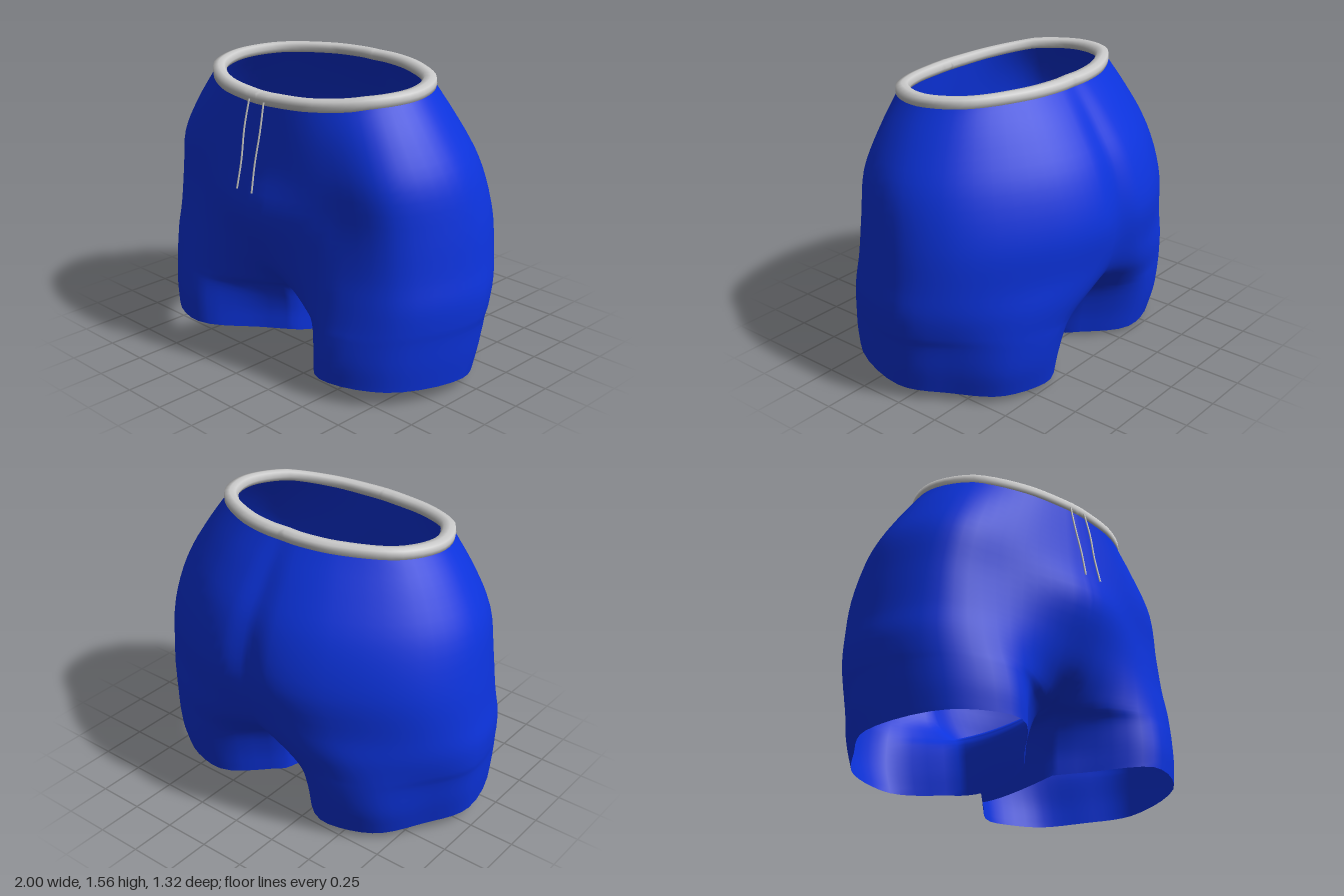
import * as THREE from 'three';
import { mergeVertices } from 'three/addons/utils/BufferGeometryUtils.js';

const V = (x, y, z) => new THREE.Vector3(x, y, z);
const { lerp, smoothstep } = THREE.MathUtils;

// Levels from waist to hem:
// y, half width, side z, centre x, centre front z, thigh front z, seat z, centre back z
const LEVELS = [
  [1.505, 0.655, 0.12, 0, 0.555, 0.50, -0.33, -0.33],
  [1.32, 0.785, 0.11, 0, 0.575, 0.52, -0.465, -0.455],
  [1.12, 0.895, 0.08, 0, 0.60, 0.53, -0.59, -0.575],
  [0.88, 0.95, 0.03, 0, 0.64, 0.53, -0.66, -0.63],
  [0.66, 0.98, 0.01, 0, 0.57, 0.545, -0.635, -0.61],
  [0.52, 1.00, 0.01, 0, 0.495, 0.565, -0.605, -0.55],
  [0.40, 0.995, 0.01, 0, 0.37, 0.585, -0.565, -0.40],
  [0.34, 0.985, 0.02, 0.06, 0.31, 0.595, -0.55, -0.32],
  [0.20, 0.97, 0.03, 0.09, 0.26, 0.61, -0.52, -0.27],
  [0.065, 0.95, 0.05, 0.10, 0.25, 0.61, -0.485, -0.25],
];
const CROTCH = 6;   // level where the legs part
const STEPS = 4;    // rows between levels
const ARC = 40;     // columns round the outside of one half
const INNER = 10;   // columns along the inside of a leg

// One level of the left half, from centre front round the side to centre back
function halfSection([y, w, zo, xc, zfc, zfm, zb, zbc]) {
  const peak = lerp(0.38, 0.17, smoothstep(y, 0.2, 0.8));
  const waist = smoothstep(y, 1.2, 1.5);   // oval at the waist, squarer at the hips
  const body = smoothstep(y, 0.3, 0.7);    // rounded across the centre front above the legs
  const pts = [
    [xc, zfc],
    [xc + 0.12 * w, lerp(zfc, zfm, lerp(0.32, 0.1, body))],
    [0.5 * w, zfm],
    [0.85 * w, lerp(zo, zfm, lerp(0.75, 0.62, waist))],
    [w, zo],
    [lerp(0.88, 0.85, peak) * w, lerp(zo, zb, lerp(0.46, 0.52, waist))],
    [(peak + 0.31) * w, lerp(zo, zb, lerp(0.87, 0.89, waist))],
    [peak * w, zb],
    [xc * 0.8, zbc],
  ].map(([x, z]) => V(x, 0, z));
  const out = new THREE.CatmullRomCurve3(pts).getPoints(ARC);
  const tilt = smoothstep(y, 0.8, 1.45), hem = Math.max(0, 1 - y / 0.4);
  for (const p of out) {
    // waist dips at the front, hem rises to the front and drops to the inside
    p.y = y - (0.06 * p.z + 0.12 * Math.max(0, p.z - 0.35)) * tilt
      + (0.07 * p.z + 0.08 * Math.min(0, p.x - 0.5)) * hem;
  }
  return out;
}

// Skin a grid of points; optionally mirrored across x
function skin(rows, out, mirror = false) {
  const put = (...pts) => {
    if (mirror) pts.reverse();
    for (const p of pts) out.push(mirror ? -p.x : p.x, p.y, p.z);
  };
  for (let i = 0; i < rows.length - 1; i++) {
    for (let j = 0; j < rows[i].length - 1; j++) {
      const a = rows[i][j], b = rows[i + 1][j], c = rows[i][j + 1], d = rows[i + 1][j + 1];
      put(a, b, c);
      put(b, d, c);
    }
  }
}

// Weld so normals run smoothly over the seams
function smoothGeometry(positions) {
  const g = new THREE.BufferGeometry();
  g.setAttribute('position', new THREE.Float32BufferAttribute(positions, 3));
  const welded = mergeVertices(g, 1e-4);
  welded.computeVertexNormals();
  return welded;
}

export function createModel() {
  const group = new THREE.Group();
  const blue = new THREE.MeshStandardMaterial({ color: 0x0c33dd, side: THREE.DoubleSide });
  const grey = new THREE.MeshStandardMaterial({ color: 0xcccccc });
  const add = (name, geometry, material) => {
    const mesh = new THREE.Mesh(geometry, material);
    mesh.name = name;
    group.add(mesh);
  };

  // Outer cloth: splines down each column
  const sections = LEVELS.map(halfSection);
  const count = (LEVELS.length - 1) * STEPS;
  const columns = sections[0].map((_, j) =>
    new THREE.CatmullRomCurve3(sections.map((s) => s[j])).getPoints(count));
  const outer = Array.from({ length: count + 1 }, (_, i) => columns.map((c) => c[i]));
  for (const row of outer.slice(0, CROTCH * STEPS + 1)) row[0].x = row[ARC].x = 0;

  // Inner legs: from centre back to centre front, below the crotch seam
  const inner = outer.slice(CROTCH * STEPS).map((row) =>
    Array.from({ length: INNER + 1 }, (_, k) => {
      const t = k / INNER, bow = 4 * t * (1 - t);
      const p = row[ARC].clone().lerp(row[0], t);
      p.x *= 1 - 0.35 * bow;
      p.y -= 0.03 * bow;
      return p;
    }));

  const cloth = [];
  for (const mirror of [false, true]) {
    skin(outer, cloth, mirror);
    skin(inner, cloth, mirror);
  }
  add('shorts', smoothGeometry(cloth), blue);

  // Waistband: flat-sided profile (outward, up) swept round the waist
  const profile = [[0.01, -0.02], [0.013, 0.005], [0.01, 0.03], [-0.02, 0.038],
    [-0.052, 0.034], [-0.068, 0.01], [-0.052, -0.016], [-0.02, -0.022], [0.01, -0.02]];
  const bandRows = profile.map(([out, up]) => outer[0].map((p) => {
    const dir = V(p.x, 0, p.z - 0.12).normalize();
    return V(p.x + dir.x * out, p.y + up, p.z + dir.z * out);
  })).reverse();
  const band = [];
  for (const mirror of [false, true]) skin(bandRows, band, mirror);
  add('waistband', smoothGeometry(band), grey);

  // Drawstrings hanging from the front of the band
  for (const side of [1, -1]) {
    const path = new THREE.CatmullRomCurve3([
      V(side * 0.053, 1.445, 0.565), V(side * 0.058, 1.3, 0.598),
      V(side * 0.05, 1.14, 0.63), V(side * 0.055, 0.995, 0.66)]);
    add(side > 0 ? 'leftDrawstring' : 'rightDrawstring',
      new THREE.TubeGeometry(path, 12, 0.005, 6), grey);
  }
  return group;
}
